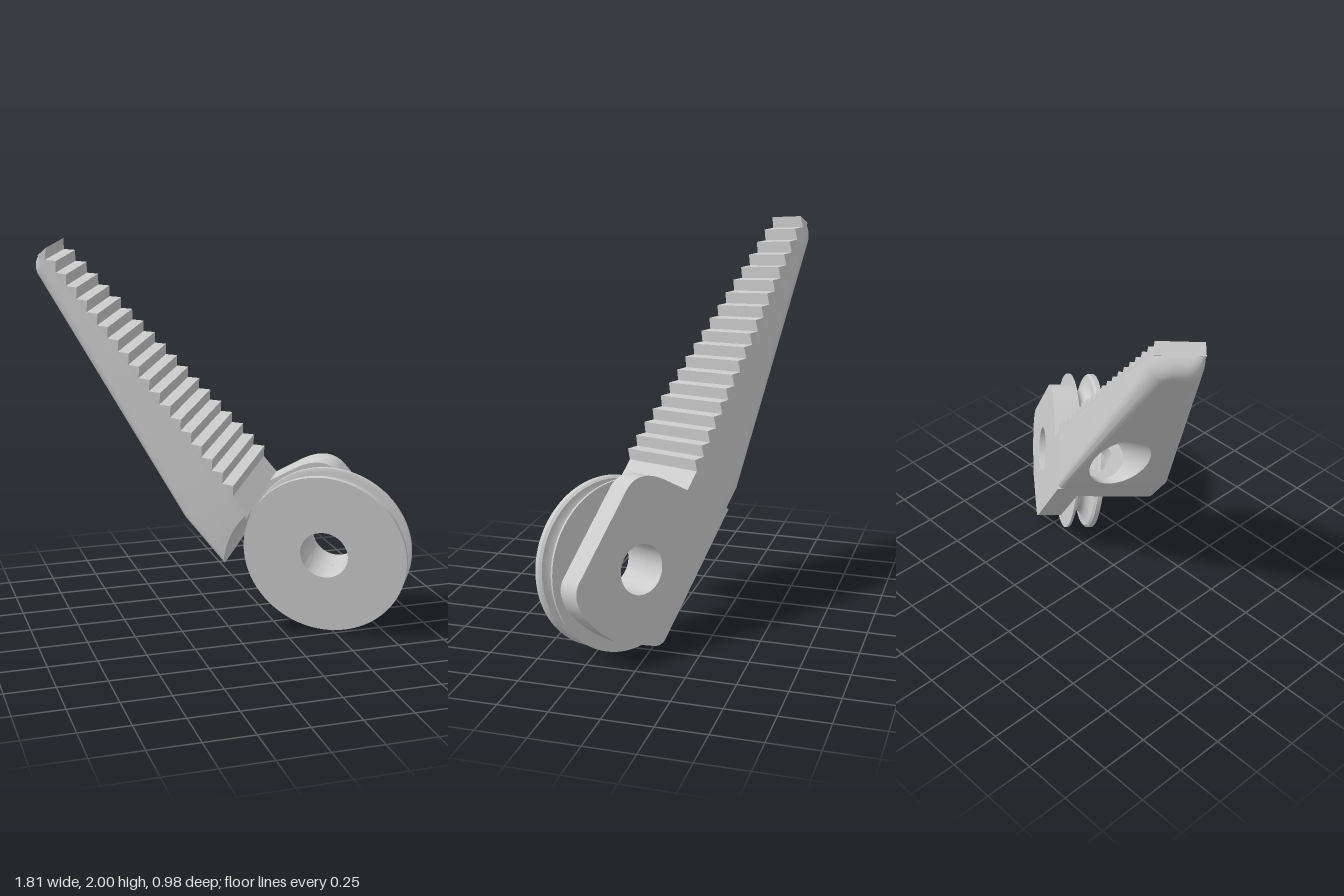
import * as THREE from 'three';
import { toCreasedNormals } from 'three/addons/utils/BufferGeometryUtils.js';

// Working frame: l runs along the jaw, n out of the toothed face, w across it.
const HALF = 0.275, BOTTOM = -0.325, TOP = -0.035;
const KINK = 0.62, TIP = 2.08, CLEAR = 0.45, NOSE = 0.07;

const taper = (l) => THREE.MathUtils.clamp((l - KINK) / (TIP - KINK), 0, 1);
const halfWidth = (l) => HALF - 0.165 * taper(l);
const bottomAt = (l) => BOTTOM + 0.15 * taper(l);
const topAt = (l) => TOP - 0.035 * taper(l);
const roundAt = (l) => 0.03 + 0.05 * taper(l);
const flatAt = (l) => halfWidth(l) - roundAt(l);
const seat = (n) => Math.sqrt(CLEAR * CLEAR - n * n); // concave end around the wheel

const material = new THREE.MeshStandardMaterial({ color: 0xcccccc, side: THREE.DoubleSide });

function part(name, geometry, crease = 0.5) {
  const mesh = new THREE.Mesh(toCreasedNormals(geometry, crease), material);
  mesh.name = name;
  return mesh;
}

// Surface through rows of [l, n, w] points
function grid(rows) {
  const cols = rows[0].length, index = [];
  for (let i = 0; i < rows.length - 1; i++) {
    for (let j = 0; j < cols - 1; j++) {
      const a = i * cols + j, b = a + cols;
      index.push(a, b, a + 1, b, b + 1, a + 1);
    }
  }
  const g = new THREE.BufferGeometry();
  g.setAttribute('position', new THREE.Float32BufferAttribute(rows.flat(2), 3));
  g.setIndex(index);
  g.computeVertexNormals();
  return g;
}

// Half of the jaw's cross-section at l, its floor raised by lift: side, then rounded corner, as [n, w]
function halfSection(l, side, lift = 0) {
  const hw = halfWidth(l), r = roundAt(l), low = bottomAt(l) + lift, top = topAt(l), pts = [];
  for (let i = 0; i < 10; i++) pts.push([THREE.MathUtils.lerp(top, Math.min(top, low + r), i / 10), side * hw]);
  for (let i = 0; i <= 10; i++) {
    const a = (i / 10) * Math.PI / 2;
    pts.push([Math.min(top, low + r - r * Math.sin(a)), side * (hw - r + r * Math.cos(a))]);
  }
  return pts;
}

function fullSection(l, lift) {
  return [...halfSection(l, 1, lift), ...halfSection(l, -1, lift).reverse()];
}

const sectionShape = (pts) => new THREE.Shape(pts.map(([n, w]) => new THREE.Vector2(w, n)));

function mapVertices(g, rule) {
  const p = g.attributes.position;
  for (let i = 0; i < p.count; i++) p.setXYZ(i, ...rule(p.getX(i), p.getY(i), p.getZ(i)));
  g.computeVertexNormals();
  return g;
}

function buildJaw() {
  const jaw = new THREE.Group();
  jaw.name = 'jaw';
  const at = (l, pts) => pts.map(([n, w]) => [l, n, w]);
  const noseStart = TIP - NOSE;

  // Block and tapering sides with rounded lower edges
  for (const side of [1, -1]) {
    const base = halfSection(KINK, side);
    const start = base.map(([n, w]) => [seat(n), n, w]);
    jaw.add(part('jawSide', grid([start, at(KINK, base), at(noseStart, halfSection(noseStart, side))])));
  }

  // Flat underside of the block
  const flat = flatAt(KINK), tipFlat = flatAt(noseStart);
  const under = [seat(BOTTOM), KINK].map((l) => [[l, BOTTOM, -flat], [l, BOTTOM, flat]]);
  jaw.add(part('blockUnderside', grid(under)));

  // Sloping underside with the long cord opening
  const slope = new THREE.Shape([
    new THREE.Vector2(KINK, -flat), new THREE.Vector2(noseStart, -tipFlat),
    new THREE.Vector2(noseStart, tipFlat), new THREE.Vector2(KINK, flat),
  ]);
  const opening = { l: 0.95, w: 0.04, rl: 0.32, rw: 0.14 };
  slope.holes.push(new THREE.Path().absellipse(opening.l, opening.w, opening.rl, opening.rw, 0, Math.PI * 2, true));
  jaw.add(part('jawUnderside', mapVertices(new THREE.ShapeGeometry(slope, 32), (l, w) => [l, bottomAt(l), w])));

  // Stepped cord hole from the underside to the concave end
  const exit = { n: -0.17, w: 0.08, r: 0.075 }, step = { l: 0.58, r: 0.115 };
  const tunnel = [];
  for (let i = 0; i <= 64; i++) {
    const a = (i / 64) * Math.PI * 2, c = Math.cos(a), s = Math.sin(a);
    const l = opening.l + opening.rl * c, n = exit.n + exit.r * c, w = exit.w + exit.r * s;
    tunnel.push([
      [l, bottomAt(l), opening.w + opening.rw * s],
      [step.l, exit.n + step.r * c, exit.w - 0.02 + step.r * s],
      [step.l, n, w],
      [seat(n), n, w],
    ]);
  }
  jaw.add(part('cordHole', grid(tunnel), 0.8));

  // Concave end face, spread outwards from the hole
  const outline = sectionShape(fullSection(KINK));
  outline.closePath();
  const rows = outline.getSpacedPoints(120).map((p) => {
    const a = Math.atan2(p.y - exit.n, p.x - exit.w), row = [];
    for (let k = 0; k <= 6; k++) {
      const n = THREE.MathUtils.lerp(exit.n + exit.r * Math.sin(a), p.y, k / 6);
      row.push([seat(n), n, THREE.MathUtils.lerp(exit.w + exit.r * Math.cos(a), p.x, k / 6)]);
    }
    return row;
  });
  jaw.add(part('concaveEnd', grid(rows), 1));

  // Nose rounded from the underside up to the tip face
  const nose = [];
  for (let i = 0; i <= 8; i++) {
    const a = (i / 8) * Math.PI / 2, l = noseStart + NOSE * Math.sin(a);
    nose.push(at(l, fullSection(l, NOSE * (1 - Math.cos(a)))));
  }
  jaw.add(part('jawNose', grid(nose), 0.8));
  const tip = new THREE.ShapeGeometry(sectionShape(fullSection(TIP, NOSE)));
  jaw.add(part('jawTip', mapVertices(tip, (w, n) => [TIP, n, w])));

  // Land and row of teeth, narrowing towards the tip
  const count = 19, first = 0.56, pitch = (TIP - first) / (count - 0.5);
  const upper = [[seat(TOP), 0]], lower = [[seat(TOP), -0.02]];
  for (let i = 0; i < count; i++) {
    const l = first + i * pitch;
    upper.push([l, 0], [l + pitch / 2, 0.042]);
    lower.push([l, -0.02], [l + pitch / 2, -0.02]);
  }
  const profile = new THREE.Shape([...upper, ...lower.reverse()].map(([l, n]) => new THREE.Vector2(l, n)));
  const teeth = new THREE.ExtrudeGeometry(profile, { depth: 1, bevelEnabled: false });
  jaw.add(part('teeth', mapVertices(teeth, (l, n, z) => [l, topAt(l) + n, (2 * z - 1) * halfWidth(l)])));
  return jaw;
}

function buildPlate() {
  // Cheek plate beside the wheel, joined to the jaw
  const s = new THREE.Shape();
  s.moveTo(0.5, BOTTOM);
  s.lineTo(0.5, -0.06);
  s.lineTo(0.455, -0.04);
  s.lineTo(0.43, 0.12);
  s.quadraticCurveTo(0.4, 0.29, 0.28, 0.295);
  s.lineTo(-0.22, 0.295);
  s.quadraticCurveTo(-0.29, 0.29, -0.33, 0.2);
  s.quadraticCurveTo(-0.37, 0.1, -0.36, -0.06);
  s.lineTo(-0.285, -0.27);
  s.quadraticCurveTo(-0.265, BOTTOM, -0.22, BOTTOM);
  s.closePath();
  s.holes.push(new THREE.Path().absarc(0, 0, 0.125, 0, Math.PI * 2, true));
  const depth = 0.13;
  const g = new THREE.ExtrudeGeometry(s, { depth, bevelEnabled: false, curveSegments: 24 });
  return part('cheekPlate', g.translate(0, 0, HALF - depth));
}

function buildWheel() {
  // Grooved wheel with a bore, turned around w
  const R = 0.428, width = 0.145, pts = [[0.125, 0], [R, 0], [R, 0.025]];
  for (let i = 0; i <= 14; i++) {
    const a = (i / 14) * Math.PI;
    pts.push([R - 0.012 - 0.08 * Math.sin(a), width / 2 + 0.01 - 0.045 * Math.cos(a)]);
  }
  pts.push([R, 0.132], [R, width], [0.125, width], [0.125, 0]);
  const g = new THREE.LatheGeometry(pts.map(([r, w]) => new THREE.Vector2(r, w)), 96);
  g.rotateX(Math.PI / 2);
  return part('groovedWheel', g);
}

export function createModel() {
  const clamp = new THREE.Group();
  clamp.name = 'clampBody';
  clamp.add(buildJaw(), buildPlate(), buildWheel());

  // Tilt the working frame into place
  const l = new THREE.Vector3(-0.583, 0.761, -0.284).normalize();
  const n = new THREE.Vector3(0.563, 0.127, -0.817).cross(l).normalize();
  const w = new THREE.Vector3().crossVectors(l, n);
  clamp.quaternion.setFromRotationMatrix(new THREE.Matrix4().makeBasis(l, n, w));
  clamp.position.set(0.437, 0.425, 0.238);

  const model = new THREE.Group();
  model.name = 'toothedClamp';
  model.add(clamp);
  return model;
}
